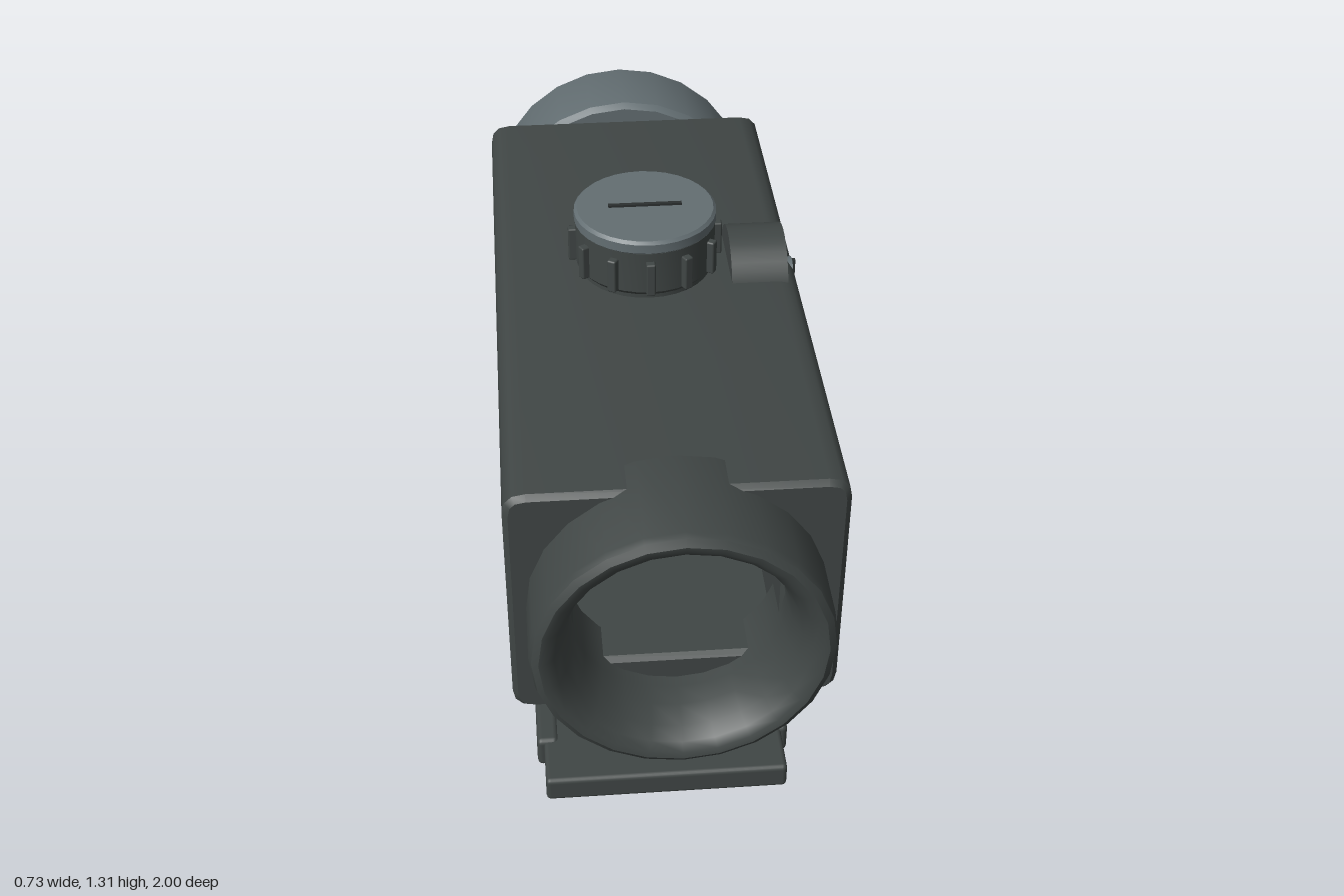
import * as THREE from 'three';
import { toCreasedNormals } from 'three/addons/utils/BufferGeometryUtils.js';
import { RoundedBoxGeometry } from 'three/addons/geometries/RoundedBoxGeometry.js';

const mat = (name, color) => Object.assign(new THREE.MeshStandardMaterial({ color }), { name });

export function createModel() {
  const root = new THREE.Group();
  root.name = 'opticalSight';
  const dark = mat('darkGunmetal', 0x404645);
  const light = mat('lightGunmetal', 0x636e72);
  const black = mat('slotBlack', 0x2b2f2f);

  const add = (name, geo, material, x = 0, y = 0, z = 0, parent = root) => {
    const m = new THREE.Mesh(geo, material);
    m.name = name;
    m.position.set(x, y, z);
    parent.add(m);
    return m;
  };
  // Closed block with softened edges, given by its limits
  const block = (name, x0, x1, y0, y1, z0, z1, r, material = dark) =>
    add(name, new RoundedBoxGeometry(x1 - x0, y1 - y0, z1 - z0, 2, r), material,
      (x0 + x1) / 2, (y0 + y1) / 2, (z0 + z1) / 2);
  // Turned part from [radius, height] pairs
  const turned = (pts, segments) => toCreasedNormals(
    new THREE.LatheGeometry(pts.map(p => new THREE.Vector2(...p)), segments), 0.6);

  // Housing: rounded rectangle with a rectangular bore
  const w = 0.365, y0 = 0.53, y1 = 1.145, r = 0.05;
  const outline = new THREE.Shape();
  outline.moveTo(-w + r, y0);
  outline.lineTo(w - r, y0);
  outline.quadraticCurveTo(w, y0, w, y0 + r);
  outline.lineTo(w, y1 - r);
  outline.quadraticCurveTo(w, y1, w - r, y1);
  outline.lineTo(-w + r, y1);
  outline.quadraticCurveTo(-w, y1, -w, y1 - r);
  outline.lineTo(-w, y0 + r);
  outline.quadraticCurveTo(-w, y0, -w + r, y0);
  const bore = new THREE.Path();
  bore.moveTo(-0.225, 0.67);
  bore.lineTo(-0.225, 1.01);
  bore.lineTo(0.225, 1.01);
  bore.lineTo(0.225, 0.67);
  bore.closePath();
  outline.holes.push(bore);
  const housing = new THREE.ExtrudeGeometry(outline, {
    depth: 1.576, curveSegments: 3, bevelEnabled: true, bevelSegments: 1,
    bevelSize: 0.012, bevelThickness: 0.012, bevelOffset: -0.012,
  });
  add('housing', toCreasedNormals(housing, 0.6), dark, 0, 0, -0.768);

  // Front eyepiece ring with a rounded, funnelled lip
  const front = turned([
    [0.235, 0.715], [0.31, 0.715], [0.325, 0.73], [0.325, 0.975], [0.32, 0.99],
    [0.305, 1], [0.29, 0.997], [0.272, 0.982], [0.255, 0.95], [0.24, 0.9],
    [0.235, 0.85], [0.235, 0.715],
  ], 24);
  add('frontRing', front.rotateX(Math.PI / 2), dark, 0, 0.84, 0);

  // Rear lens ring, slightly larger, with a tapered opening
  const rear = turned([
    [0.264, -1], [0.338, -1], [0.35, -0.993], [0.355, -0.98], [0.355, -0.785],
    [0.343, -0.768], [0.235, -0.768], [0.264, -1],
  ], 24);
  add('rearRing', rear.rotateX(Math.PI / 2), light, 0, 0.84, 0);

  // Elevation turret on the roof
  const turret = new THREE.Group();
  turret.name = 'elevationTurret';
  turret.position.set(0, 0, -0.055);
  root.add(turret);
  add('turretDrum', turned([
    [0.16, 1.13], [0.16, 1.155], [0.168, 1.165], [0.168, 1.27], [0, 1.27],
  ], 32), dark, 0, 0, 0, turret);
  add('turretCap', turned([
    [0, 1.268], [0.165, 1.268], [0.17, 1.273], [0.17, 1.295], [0.163, 1.302], [0, 1.302],
  ], 32), light, 0, 0, 0, turret);
  add('turretSlot', new THREE.BoxGeometry(0.175, 0.009, 0.01), black, 0, 1.303, 0, turret);
  for (let i = 0; i < 12; i++) {
    const a = i * Math.PI / 6;
    const rib = add('turretRib', new RoundedBoxGeometry(0.022, 0.085, 0.03, 1, 0.004), dark,
      Math.sin(a) * 0.17, 1.207, Math.cos(a) * 0.17, turret);
    rib.rotation.y = a;
  }

  // Sideways cylinder, axis along x
  const drum = (name, radius, x0, x1, y, z, material) => add(name,
    new THREE.CylinderGeometry(radius, radius, x1 - x0, 32).rotateZ(Math.PI / 2),
    material, (x0 + x1) / 2, y, z);

  // Windage knob sunk into the roof, with its adjusting screw
  drum('windageKnob', 0.125, 0.2, 0.335, 1.095, -0.055, dark);
  drum('windageScrew', 0.04, 0.32, 0.36, 1.095, -0.055, light);
  add('windageSlot', new THREE.BoxGeometry(0.009, 0.065, 0.01), black, 0.364, 1.1, -0.055);

  // Mount: riser block, base plate and clamp rails
  block('riserBlock', -0.23, 0.23, 0.105, 0.335, -0.455, 0.507, 0.014);
  block('basePlate', -0.302, 0.302, 0.012, 0.082, -0.587, 0.643, 0.012);
  for (const s of [-1, 1]) {
    const a = s * 0.265, b = s * 0.32;
    block('clampRail', Math.min(a, b), Math.max(a, b), 0, 0.088, -0.462, 0.515, 0.014);
    for (const z of [0.305, -0.245]) {
      drum('clampScrew', 0.04, s * 0.325 - 0.011, s * 0.325 + 0.011, 0.067, z, light);
      add('clampScrewSlot', new THREE.BoxGeometry(0.008, 0.055, 0.01), black, s * 0.335, 0.067, z);
    }
  }
  return root;
}
